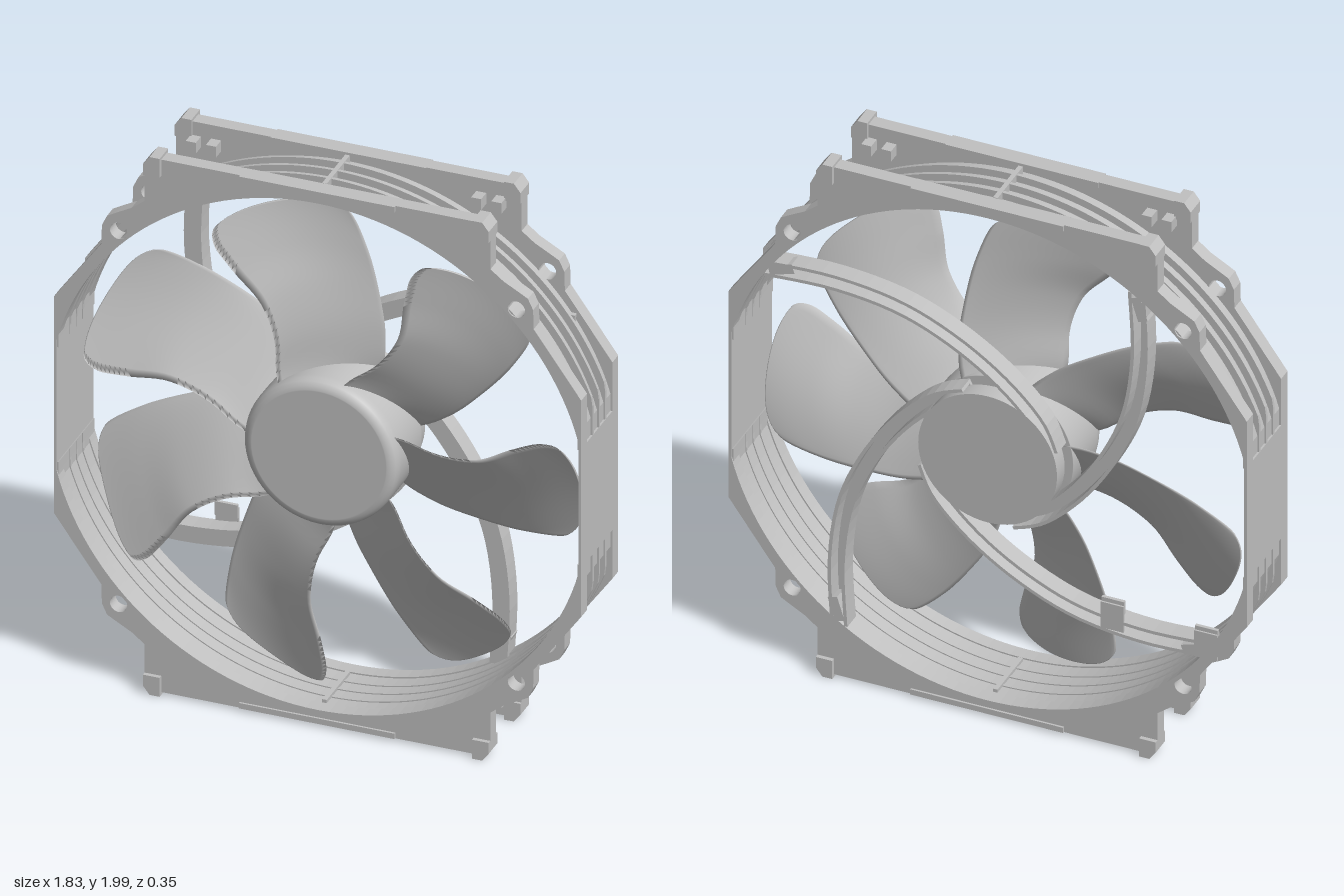
import * as THREE from 'three';

const grey = new THREE.MeshStandardMaterial({ color: 0xc0c0c0 });
grey.name = 'grey plastic';
const rad = THREE.MathUtils.degToRad;
const polar = (r, deg) => new THREE.Vector2(r * Math.cos(rad(deg)), r * Math.sin(rad(deg)));
const QUADS = [[1, 1], [-1, 1], [-1, -1], [1, -1]];

function add(parent, geometry, name, x = 0, y = 0, z = 0) {
  const mesh = new THREE.Mesh(geometry, grey);
  mesh.name = name;
  mesh.position.set(x, y, z);
  parent.add(mesh);
  return mesh;
}
const extrude = (shape, depth) =>
  new THREE.ExtrudeGeometry(shape, { depth, bevelEnabled: false, curveSegments: 24 });

// arc whose sides are cut flat at x = +-limit
function arc(r, from, to, limit, n = 72) {
  return Array.from({ length: n + 1 }, (_, i) => {
    const p = polar(r, from + (to - from) * i / n);
    p.x = THREE.MathUtils.clamp(p.x, -limit, limit);
    return p;
  });
}
// curved wall between two such arcs, running along the top or bottom of the frame
function band(r0, limit0, r1, limit1, start) {
  const from = start + 13, to = start + 167;
  return new THREE.Shape([...arc(r1, from, to, limit1), ...arc(r0, to, from, limit0)]);
}

// flat frame outline: straight sides, bolt lugs and wide top and bottom plates
function flangeShape() {
  const quarter = [[0.915, 0.4], [0.75, 0.63], [0.748, 0.7], [0.73, 0.738], [0.7, 0.755],
    [0.645, 0.785], [0.6, 0.82], [0.6, 0.955], [0.575, 0.985], [0.27, 0.985], [0.265, 0.975]];
  const pts = [];
  QUADS.forEach(([sx, sy], i) => {
    const q = i % 2 ? [...quarter].reverse() : quarter;
    q.forEach(([x, y]) => pts.push(new THREE.Vector2(sx * x, sy * y)));
  });
  const shape = new THREE.Shape(pts);
  shape.holes.push(new THREE.Path(arc(0.937, 0, 355, 0.905, 142)));
  for (const [sx, sy] of QUADS) {
    shape.holes.push(new THREE.Path().absarc(sx * 0.69, sy * 0.69, 0.03, 0, Math.PI * 2, true));
  }
  return shape;
}

function buildFrame() {
  const frame = new THREE.Group();
  frame.name = 'frame';
  const flange = extrude(flangeShape(), 0.05);
  add(frame, flange, 'frontFlange', 0, 0, 0.11);
  add(frame, flange, 'backFlange', 0, 0, -0.16);

  for (const start of [0, 180]) {
    add(frame, extrude(band(0.942, 0.9, 0.952, 0.908, start), 0.31), 'tunnelWall', 0, 0, -0.155);
    for (const z of [-0.055, 0, 0.055]) {
      add(frame, extrude(band(0.938, 0.898, 0.978, 0.914, start), 0.012), 'tunnelRib', 0, 0, z - 0.006);
    }
  }
  for (const s of [1, -1]) {
    add(frame, new THREE.BoxGeometry(0.01, 0.44, 0.32), 'sideWall', s * 0.91, 0, 0);
    add(frame, new THREE.BoxGeometry(0.016, 0.05, 0.2), 'centreFin', 0, s * 0.955, 0);
    for (const z of [0.1375, -0.1375]) {
      add(frame, new THREE.BoxGeometry(0.54, 0.02, 0.06), 'plateLip', 0, s * 0.974, z);
    }
  }

  // corner pads and small pegs, mirrored to the four corners
  const pad = new THREE.Shape([[-0.03, -0.035], [0.028, -0.035], [0.028, 0.005], [0.005, 0.035], [-0.03, 0.035]]
    .map(p => new THREE.Vector2(...p)));
  const padGeo = extrude(pad, 0.075);
  const padMirror = extrude(new THREE.Shape(pad.getPoints().map(p => new THREE.Vector2(-p.x, p.y))), 0.075);
  const pegGeo = new THREE.BoxGeometry(0.035, 0.04, 0.05);
  for (const [sx, sy] of QUADS) {
    for (const sz of [1, -1]) {
      const corner = add(frame, sx * sy > 0 ? padGeo : padMirror, 'cornerPad',
        sx * 0.572, sy * 0.96, sz * 0.1375 - 0.0375);
      if (sy < 0) corner.rotation.z = Math.PI;
      for (const x of [0.46, 0.53]) add(frame, pegGeo, 'platePeg', sx * x, sy * 0.915, sz * 0.09);
    }
  }
  return frame;
}

// one swept, twisted blade: closed aerofoil sections stacked along the radius
function bladeGeometry() {
  const edges = new THREE.SplineCurve([[60, 127], [67.5, 114.5], [75, 112], [80.5, 116], [85, 118.2]]
    .map(p => new THREE.Vector2(...p)));
  const across = 20, rows = 30, loop = across * 2;
  const pos = [], index = [];
  for (let j = 0; j <= rows; j++) {
    const v = 1 - Math.pow(1 - j / rows, 1.6), e = edges.getPoint(v);
    // the chord shrinks in the last stretch to round the tip corners
    const w = Math.max(0, (v - 0.88) / 0.12);
    const chord = 1 - 0.15 * (1 - Math.sqrt(1 - w * w));
    for (let k = 0; k < loop; k++) {
      const front = k <= across;
      const u = 0.5 + ((front ? k : loop - k) / across - 0.5) * chord;
      const tip = 0.865 - (u < 0.5 ? 0.08 : 0.04) * Math.pow(2 * u - 1, 4);
      const p = polar(0.24 + v * (tip - 0.24), e.x + (e.y - e.x) * u);
      const half = (0.01 * Math.sin(Math.PI * u) + 0.001) * (1 - 0.6 * v);
      const z = (2 * u - 1) * (0.1 - 0.01 * v) - 0.03 * Math.sin(Math.PI * u) * v + 0.015 + 0.045 * v;
      pos.push(p.x, p.y, z + (front ? half : -half));
      if (j < rows) {
        const a = j * loop + k, b = j * loop + (k + 1) % loop;
        index.push(a, a + loop, b, b, a + loop, b + loop);
      }
    }
  }
  // thin tip closing the front and back skins
  const last = rows * loop;
  for (let k = 0; k < across; k++) {
    const a = last + k, b = last + k + 1;
    const c = last + (loop - k) % loop, d = last + loop - k - 1;
    index.push(a, d, b);
    if (k > 0) index.push(a, c, d);
  }
  const g = new THREE.BufferGeometry();
  g.setAttribute('position', new THREE.Float32BufferAttribute(pos, 3));
  g.setIndex(index);
  g.computeVertexNormals();
  return g;
}

function buildRotor() {
  const rotor = new THREE.Group();
  rotor.name = 'rotor';
  const profile = [[0, -0.08], [0.265, -0.08], [0.266, -0.078], [0.268, 0.1], [0.267, 0.118],
    [0.262, 0.135], [0.25, 0.146], [0.237, 0.15], [0.233, 0.15], [0, 0.15]];
  const hub = new THREE.LatheGeometry(profile.map(p => new THREE.Vector2(...p)), 64);
  add(rotor, hub.rotateX(Math.PI / 2), 'hub');
  const blade = bladeGeometry();
  for (let i = 0; i < 7; i++) add(rotor, blade, 'blade').rotation.z = i * Math.PI * 2 / 7;
  return rotor;
}

// ribbon that follows a flat curve between two side offsets
function ribbon(curve, o0, o1, n = 28) {
  const side = (o) => Array.from({ length: n + 1 }, (_, i) => {
    const p = curve.getPoint(i / n), t = curve.getTangent(i / n);
    return new THREE.Vector2(p.x - t.y * o, p.y + t.x * o);
  });
  return new THREE.Shape([...side(o0), ...side(o1).reverse()]);
}

function buildMount() {
  const mount = new THREE.Group();
  mount.name = 'motorMount';
  add(mount, new THREE.CylinderGeometry(0.245, 0.245, 0.06, 64).rotateX(Math.PI / 2),
    'motorPlate', 0, 0, -0.13);
  // four spiral struts, each an open channel with a floor and two rails
  const path = new THREE.SplineCurve([[-0.22, 0.08], [-0.17, 0.19], [-0.04, 0.32], [0.13, 0.43],
    [0.32, 0.505], [0.55, 0.535], [0.79, 0.525]].map(p => new THREE.Vector2(...p)));
  const floor = extrude(ribbon(path, -0.03, 0.03), 0.012);
  const rails = [extrude(ribbon(path, -0.03, -0.018), 0.06), extrude(ribbon(path, 0.018, 0.03), 0.06)];
  for (let i = 0; i < 4; i++) {
    const strut = new THREE.Group();
    strut.name = 'strut';
    strut.rotation.z = i * Math.PI / 2;
    add(strut, floor, 'strutFloor', 0, 0, -0.105);
    rails.forEach(r => add(strut, r, 'strutRail', 0, 0, -0.16));
    add(strut, new THREE.BoxGeometry(0.09, 0.035, 0.05), 'strutFoot', 0.73, 0.535, -0.135)
      .rotation.z = -0.3;
    // cable clips on the lower strut
    if (i === 2) {
      for (const [x, y] of [[0.44, 0.45], [0.77, 0.47]]) {
        add(strut, new THREE.BoxGeometry(0.08, 0.05, 0.012), 'cableClip', x, y, -0.15);
        add(strut, new THREE.BoxGeometry(0.08, 0.1, 0.008), 'clipBridge', x, y + 0.04, -0.158);
      }
    }
    mount.add(strut);
  }
  return mount;
}

export function createModel() {
  const fan = new THREE.Group();
  fan.name = 'fan';
  fan.add(buildFrame(), buildRotor(), buildMount());
  fan.children.forEach(part => { part.position.y = 1; });
  return fan;
}
